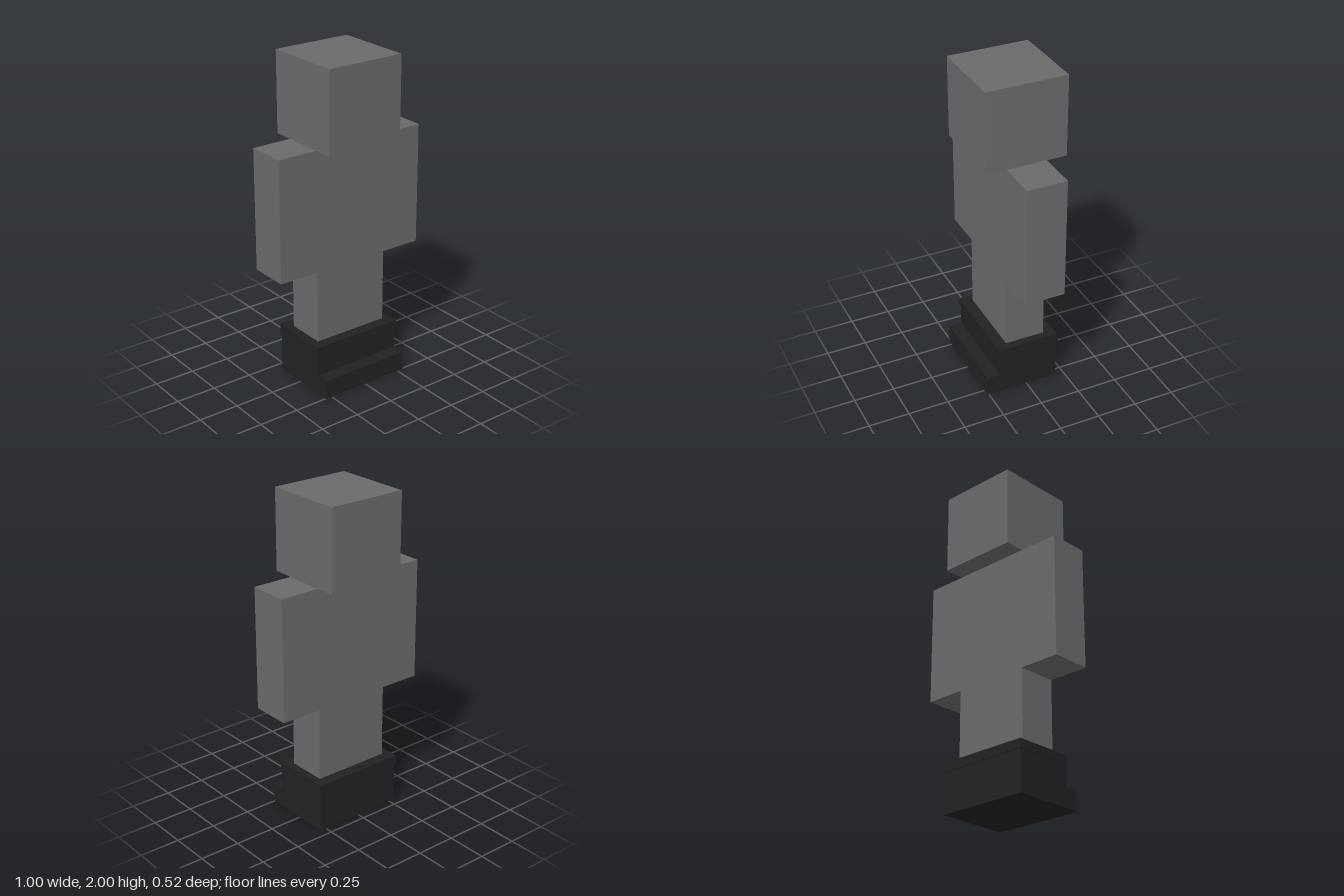
import * as THREE from 'three';

export function createModel() {
  const model = new THREE.Group();
  model.name = 'blockFigure';

  const grey = new THREE.MeshStandardMaterial({ color: 0x696b6a });
  grey.name = 'body grey';
  const black = new THREE.MeshStandardMaterial({ color: 0x222222 });
  black.name = 'boot black';

  // Box given by its lower and upper bounds on each axis
  function block(name, material, [x0, x1], [y0, y1], [z0, z1]) {
    const mesh = new THREE.Mesh(new THREE.BoxGeometry(x1 - x0, y1 - y0, z1 - z0), material);
    mesh.position.set((x0 + x1) / 2, (y0 + y1) / 2, (z0 + z1) / 2);
    mesh.name = name;
    model.add(mesh);
  }

  // Head and torso
  const depth = [-0.135, 0.112];
  block('head', grey, [-0.249, 0.249], [1.504, 2], [-0.259, 0.239]);
  block('torso', grey, [-0.25, 0.25], [0.757, 1.504], depth);

  // Arms, legs and boots, mirrored across x = 0
  for (const [side, s] of [['left', 1], ['right', -1]]) {
    const span = (a, b) => (s > 0 ? [a, b] : [-b, -a]);
    block(side + 'Arm', grey, span(0.25, 0.498), [0.757, 1.504], depth);
    block(side + 'Leg', grey, span(0, 0.243), [0.25, 0.757], depth);
    block(side + 'BootShaft', black, span(0, 0.288), [0.01, 0.25], [-0.2, 0.174]);
    block(side + 'BootCuff', black, span(0, 0.293), [0.25, 0.306], [-0.205, 0.179]);
    block(side + 'BootToe', black, span(0, 0.288), [0.01, 0.12], [0.174, 0.255]);
    block(side + 'BootSole', black, span(0, 0.291), [0, 0.03], [-0.203, 0.258]);
  }

  return model;
}
